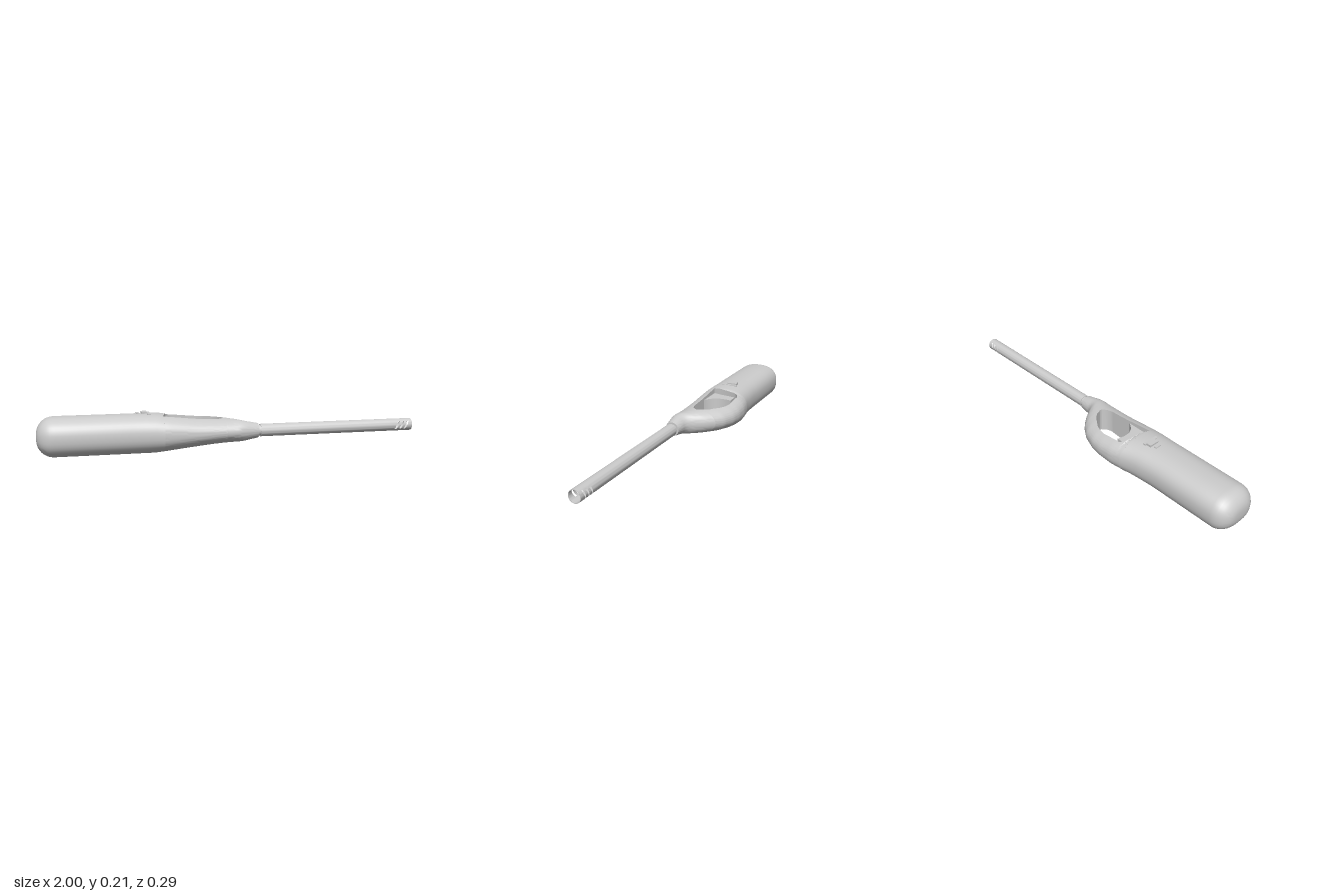
import * as THREE from 'three';
import { toCreasedNormals } from 'three/addons/utils/BufferGeometryUtils.js';

const material = new THREE.MeshStandardMaterial({ color: 0xcccccc });
const AXIS_Y = 0.104, AXIS_Z = 0.09; // barrel axis

// Linear interpolation in a list of [x, value] pairs
function table(points, x) {
  if (x <= points[0][0]) return points[0][1];
  for (let i = 1; i < points.length; i++) {
    const [x0, a] = points[i - 1], [x1, b] = points[i];
    if (x <= x1) return a + (b - a) * (x - x0) / (x1 - x0);
  }
  return points[points.length - 1][1];
}

// Outline of the casing along its length
const BACK = [[-1, -0.11], [-0.55, -0.11], [-0.42, -0.12], [-0.37, -0.133], [-0.3, -0.145], [-0.23, -0.147],
  [-0.17, -0.14], [-0.1, -0.115], [-0.05, -0.08], [-0.02, -0.05], [0, -0.025], [0.02, 0.005], [0.04, 0.032],
  [0.06, 0.043], [0.125, 0.052]];
const FRONT = [[-1, 0.137], [-0.5, 0.14], [-0.35, 0.147], [0.02, 0.147], [0.05, 0.142], [0.125, 0.128]];
const TOP = [[-1, 0.202], [-0.42, 0.202], [-0.37, 0.198], [-0.2, 0.18], [0.02, 0.163], [0.125, 0.142]];
const BOTTOM = [[-1, 0], [-0.4, 0], [-0.35, 0.006], [-0.2, 0.022], [0.02, 0.047], [0.125, 0.066]];
const ROUNDNESS = [[-0.3, 2.4], [0.03, 2]];

// Finger opening: edge next to the guard, and edge next to the front bar
const HOLE_BACK = [[-0.37, 0.07], [-0.36, 0.03], [-0.345, -0.065], [-0.335, -0.083], [-0.318, -0.093], [-0.21, -0.093],
  [-0.17, -0.084], [-0.14, -0.07], [-0.085, -0.03], [-0.06, 0], [-0.05, 0.03]];
const HOLE_FRONT = [[-0.37, 0.07], [-0.1, 0.07], [-0.07, 0.06], [-0.05, 0.04]];

// Cross-section of the casing at x, optionally cut to z between cutA and cutB
function section(x, cutA = -1, cutB = 1, n = 24) {
  const r = 0.085, d = Math.max(0, r - (x + 1));
  const inset = r - Math.sqrt(Math.max(0, r * r - d * d));
  const z0 = table(BACK, x) + inset, z1 = table(FRONT, x) - inset;
  const y0 = table(BOTTOM, x) + inset, y1 = table(TOP, x) - inset;
  const p = table(ROUNDNESS, x), zc = (z0 + z1) / 2, yc = (y0 + y1) / 2;
  const a = Math.max(z0, cutA), b = Math.min(z1, cutB);
  const upper = [], lower = [];
  for (let i = 0; i <= n; i++) {
    const z = a + (b - a) * (1 - Math.cos(Math.PI * i / n)) / 2;
    const u = Math.min(1, Math.abs((z - zc) / ((z1 - z0) / 2)));
    const h = (y1 - y0) / 2 * Math.pow(1 - Math.pow(u, p), 1 / p);
    upper.push([x, yc + h, z]);
    lower.unshift([x, yc - h, z]);
  }
  return upper.concat(lower);
}

// Closed, capped skin through cross-sections ordered along +x
function loft(sections) {
  const m = sections[0].length, last = sections.length - 1, index = [];
  const points = sections.flat();
  for (let i = 0; i < last; i++) for (let j = 0; j < m; j++) {
    const k = (j + 1) % m, a = i * m + j, b = i * m + k;
    index.push(a, b, b + m, a, b + m, a + m);
  }
  for (const s of [0, last]) {
    const centre = [0, 1, 2].map(c => sections[s].reduce((t, q) => t + q[c], 0) / m);
    points.push(centre);
    for (let j = 0; j < m; j++) {
      const a = s * m + j, b = s * m + (j + 1) % m;
      index.push(points.length - 1, ...(s ? [a, b] : [b, a]));
    }
  }
  return finish(points, index);
}

function finish(points, index) {
  const g = new THREE.BufferGeometry();
  g.setAttribute('position', new THREE.Float32BufferAttribute(points.flat(), 3));
  g.setIndex(index);
  return toCreasedNormals(g, 0.6);
}

const range = (a, b, n) => Array.from({ length: n + 1 }, (_, i) => a + (b - a) * i / n);

// Tube wall with three slanted vent slots on the front and on the back
function barrelWall(radius) {
  const breaks = [0.138, 0.87, 0.914, 0.927, 0.94, 0.953, 0.966, 0.979, 1];
  const segments = 32, points = [], index = [];
  breaks.forEach((x, i) => {
    const slant = i > 1 && i < breaks.length - 1 ? 0.45 : 0;
    for (let j = 0; j < segments; j++) {
      const t = j / segments * Math.PI * 2, y = radius * Math.sin(t);
      points.push([x + slant * y - (slant ? 0.006 : 0), AXIS_Y + y, AXIS_Z + radius * Math.cos(t)]);
    }
  });
  for (let i = 0; i < breaks.length - 1; i++) for (let j = 0; j < segments; j++) {
    const onSide = Math.abs(Math.sin((j + 0.5) / segments * Math.PI * 2)) < 0.7;
    if (onSide && (i === 2 || i === 4 || i === 6)) continue;
    const k = (j + 1) % segments, a = i * segments + j, b = i * segments + k;
    index.push(a, b + segments, b, a, a + segments, b + segments);
  }
  return finish(points, index);
}

export function createModel() {
  const model = new THREE.Group();
  const add = (name, geometry, mat = material, parent = model) => {
    const mesh = new THREE.Mesh(geometry, mat);
    mesh.name = name;
    parent.add(mesh);
    return mesh;
  };

  // Casing: grip, the two bars around the finger opening, and the nose
  const gripStations = [...range(0, 1, 8).map(t => -1 + 0.085 * (1 - Math.cos(t * Math.PI / 2))),
    ...range(-0.8, -0.37, 10)];
  add('grip', loft(gripStations.map(x => section(x))));
  const holeStations = [-0.37, -0.36, -0.345, -0.335, -0.318, ...range(-0.3, -0.05, 20)];
  add('frontBar', loft(holeStations.map(x => section(x, table(HOLE_FRONT, x), 1))));
  add('triggerGuard', loft(holeStations.map(x => section(x, -1, table(HOLE_BACK, x)))));
  add('nose', loft(range(-0.05, 0.125, 16).map(x => section(x))));

  // Trigger, drawn in plan and extruded through the thickness
  const plan = new THREE.Shape();
  plan.moveTo(-0.38, 0.075);
  plan.lineTo(-0.38, -0.066);
  plan.lineTo(-0.283, -0.066);
  plan.bezierCurveTo(-0.295, -0.02, -0.3, 0.045, -0.215, 0.075);
  const triggerGeometry = new THREE.ExtrudeGeometry(plan, { depth: 0.12, bevelEnabled: false, curveSegments: 12 });
  triggerGeometry.rotateX(Math.PI / 2);
  add('trigger', toCreasedNormals(triggerGeometry, 0.5)).position.y = 0.162;

  // Safety switch on top of the grip
  const box = (name, x0, x1, y0, y1, z0, z1) =>
    add(name, new THREE.BoxGeometry(x1 - x0, y1 - y0, z1 - z0))
      .position.set((x0 + x1) / 2, (y0 + y1) / 2, (z0 + z1) / 2);
  box('switchSlider', -0.474, -0.446, 0.19, 0.21, -0.032, 0.022);
  box('switchStop', -0.5, -0.486, 0.19, 0.206, -0.02, 0.015);
  box('switchTrack', -0.446, -0.43, 0.19, 0.2035, -0.038, 0.05);

  // Neck joining the nose and the barrel
  const neck = add('neck', new THREE.CylinderGeometry(0.028, 0.028, 0.06, 32));
  neck.rotation.z = Math.PI / 2;
  neck.position.set(0.135, AXIS_Y, AXIS_Z);

  // Barrel: outer and inner wall with rims
  const thin = material.clone();
  thin.side = THREE.DoubleSide;
  const barrel = new THREE.Group();
  barrel.name = 'barrel';
  model.add(barrel);
  add('outerWall', barrelWall(0.033), thin, barrel);
  add('innerWall', barrelWall(0.03), thin, barrel);
  for (const x of [0.138, 1]) {
    const rim = add('rim', new THREE.RingGeometry(0.03, 0.033, 32), thin, barrel);
    rim.rotation.y = Math.PI / 2;
    rim.position.set(x, AXIS_Y, AXIS_Z);
  }
  return model;
}
